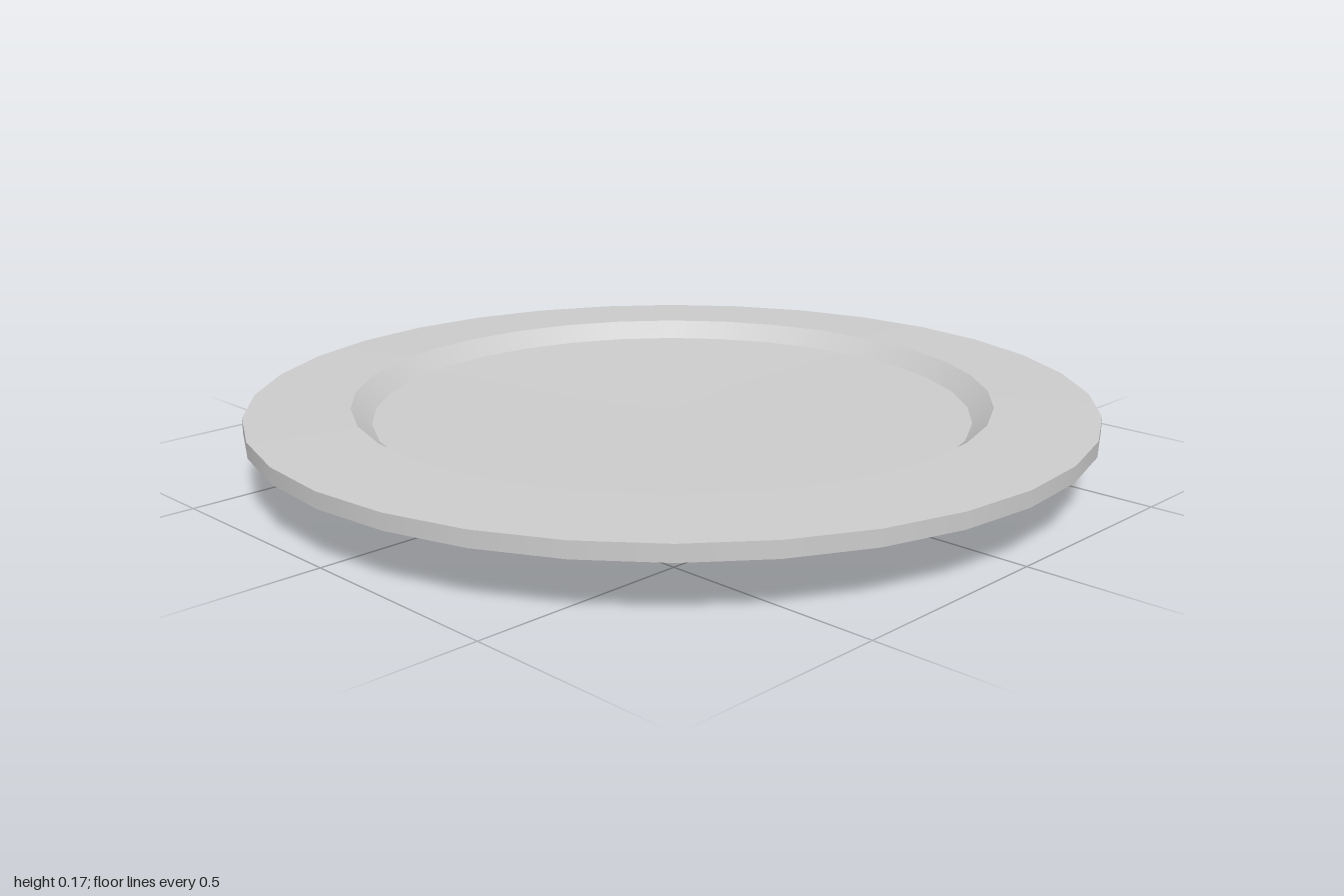
import * as THREE from 'three';

const SIDES = 32;

// Profile of the plate as [radius, height], from the centre underneath,
// out around the rim and back to the centre on top.
const profile = [
  [0, 0], [0.6, 0.01], [0.635, 0.045], [1, 0.125],
  [1, 0.162], [0.757, 0.17], [0.71, 0.13], [0, 0.122],
];
const names = ['base', 'footRing', 'underside', 'rimEdge', 'rim', 'wellWall', 'wellFloor'];

export function createModel() {
  const plate = new THREE.Group();
  plate.name = 'plate';
  const material = new THREE.MeshStandardMaterial({ color: 0xcccccc });

  // Each band is its own lathe, so it is smooth around and sharp at its borders
  names.forEach((name, i) => {
    const points = [profile[i], profile[i + 1]].map(([r, y]) => new THREE.Vector2(r, y));
    const band = new THREE.Mesh(new THREE.LatheGeometry(points, SIDES), material);
    band.name = name;
    plate.add(band);
  });
  return plate;
}
